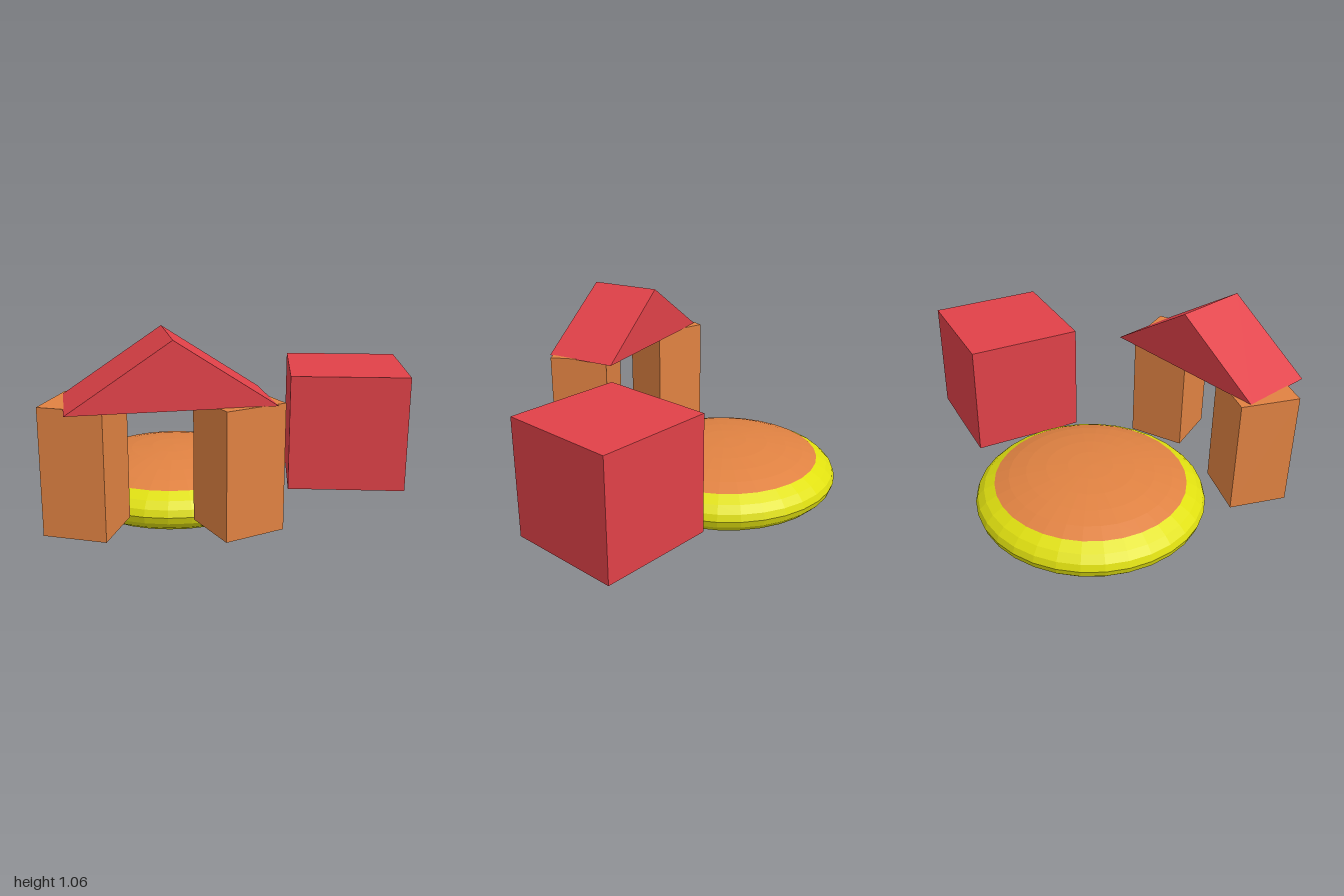
import * as THREE from 'three';

const material = (name, color) => {
  const m = new THREE.MeshStandardMaterial({ color, flatShading: true });
  m.name = name;
  return m;
};

export function createModel() {
  const model = new THREE.Group();
  model.name = 'toyBlocks';
  const red = material('red', 0xe04148);
  const orange = material('orange', 0xe08242);
  const yellow = material('yellow', 0xe0e010);

  const add = (parent, name, geometry, mat, position = [0, 0, 0], turn = 0) => {
    const mesh = new THREE.Mesh(geometry, mat);
    mesh.name = name;
    mesh.position.set(...position);
    mesh.rotation.y = turn;
    parent.add(mesh);
    return mesh;
  };

  // Flattened cushion: a squashed sphere with a band between two caps
  const cushion = new THREE.Group();
  cushion.name = 'cushion';
  cushion.position.set(-0.215, 0.175, 0.055);
  cushion.scale.set(0.572, 0.175, 0.572);
  model.add(cushion);
  const step = Math.PI / 16;
  const slice = (from, rows) =>
    new THREE.SphereGeometry(1, 32, rows, 0, Math.PI * 2, from * step, rows * step);
  add(cushion, 'cushionTop', slice(0, 5), orange);
  add(cushion, 'cushionBand', slice(5, 6), yellow);
  add(cushion, 'cushionBottom', slice(11, 5), orange);

  // Cube block
  add(model, 'cubeBlock', new THREE.BoxGeometry(0.575, 0.575, 0.575), red, [0.38, 0.48, -0.595], -0.835);

  // Two pillars, each turned differently
  const pillar = new THREE.BoxGeometry(0.29, 0.575, 0.29);
  add(model, 'frontPillar', pillar, orange, [0.035, 0.48, 0.797], 0.54);
  add(model, 'backPillar', pillar, orange, [0.4875, 0.48, 0.3075], -0.262);

  // Triangular roof block lying across the pillars
  const gable = new THREE.Shape([
    new THREE.Vector2(-0.443, 0),
    new THREE.Vector2(0.443, 0),
    new THREE.Vector2(0, 0.293),
  ]);
  const roof = new THREE.ExtrudeGeometry(gable, { depth: 0.37, bevelEnabled: false });
  roof.translate(0, 0, -0.185);
  add(model, 'roofBlock', roof, red, [0.27, 0.765, 0.523], 0.98);

  return model;
}
